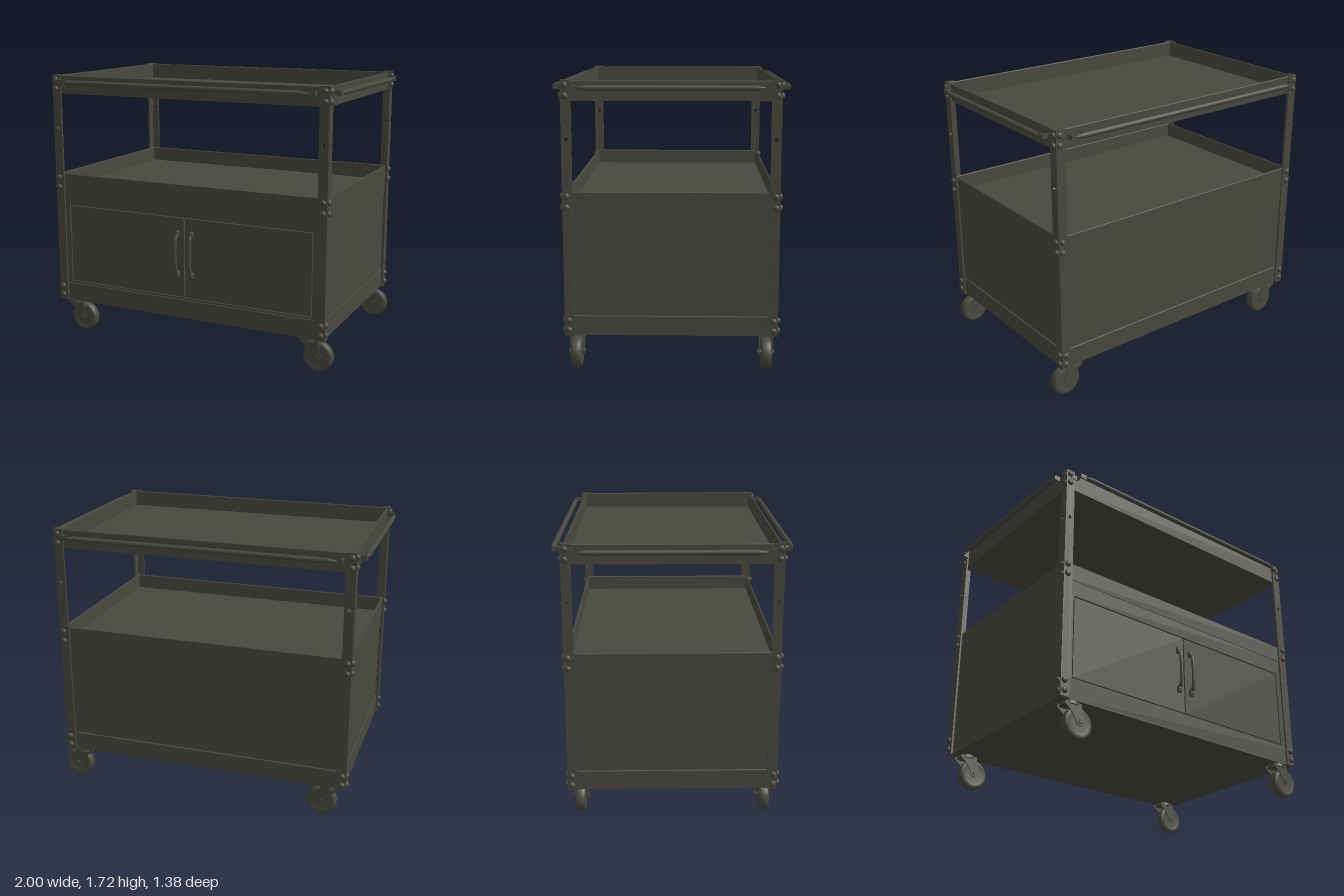
import * as THREE from 'three';
import { RoundedBoxGeometry } from 'three/addons/geometries/RoundedBoxGeometry.js';

const steel = new THREE.MeshStandardMaterial({ color: 0x4a4940 });
steel.name = 'olive grey steel';

const TRAY_X = 0.93, TRAY_Z = 0.615;   // tray half sizes
const LEG_X = 0.945, LEG_Z = 0.63;     // outer faces of the legs
const SIGNS = [-1, 1];

function add(parent, name, geometry, x = 0, y = 0, z = 0) {
  const mesh = new THREE.Mesh(geometry, steel);
  mesh.name = name;
  mesh.position.set(x, y, z);
  parent.add(mesh);
  return mesh;
}

// box given by its extents on each axis
function box(parent, name, x0, x1, y0, y1, z0, z1) {
  return add(parent, name, new THREE.BoxGeometry(x1 - x0, y1 - y0, z1 - z0),
    (x0 + x1) / 2, (y0 + y1) / 2, (z0 + z1) / 2);
}

function rectangle(x0, x1, y0, y1) {
  return new THREE.Shape([[x0, y0], [x1, y0], [x1, y1], [x0, y1]].map(p => new THREE.Vector2(...p)));
}

function extrude(shape, depth) {
  return new THREE.ExtrudeGeometry(shape, { depth, bevelEnabled: false, curveSegments: 16 });
}

// shallow tray: floor sheet with four upright walls
function tray(parent, name, y0, y1) {
  const g = new THREE.Group();
  g.name = name;
  const t = 0.012;
  box(g, 'trayFloor', -TRAY_X, TRAY_X, y0, y0 + t, -TRAY_Z, TRAY_Z);
  for (const s of SIGNS) {
    add(g, 'trayLongWall', new RoundedBoxGeometry(2 * TRAY_X, y1 - y0, t, 2, 0.005),
      0, (y0 + y1) / 2, s * (TRAY_Z - t / 2));
    add(g, 'traySideWall', new RoundedBoxGeometry(t, y1 - y0, 2 * TRAY_Z, 2, 0.005),
      s * (TRAY_X - t / 2), (y0 + y1) / 2, 0);
  }
  parent.add(g);
}

// domed bolt head, its axis along +z
const boltGeometry = new THREE.LatheGeometry(
  [[0.019, 0], [0.019, 0.005], [0.016, 0.011], [0.009, 0.015], [0, 0.016]].map(p => new THREE.Vector2(...p)), 14
).rotateX(Math.PI / 2);

// corner leg: two perforated plates in an L, with bolts
function leg(parent, sx, sz) {
  const g = new THREE.Group();
  g.name = 'leg';
  const w = 0.06, t = 0.012, y0 = 0.21, y1 = 1.72;
  const shape = rectangle(-w / 2, w / 2, y0, y1);
  shape.holes.push(new THREE.Path().absarc(0, 1.38, 0.011, 0, Math.PI * 2, true));
  const plate = extrude(shape, t).translate(0, 0, -t / 2);
  add(g, 'legPlate', plate, sx * (LEG_X - w / 2), 0, sz * (LEG_Z - t / 2));
  add(g, 'legPlate', plate, sx * (LEG_X - t / 2), 0, sz * (LEG_Z - w / 2)).rotation.y = Math.PI / 2;
  for (const y of [0.245, 0.305, 0.985, 1.05, 1.63, 1.69]) {
    add(g, 'bolt', boltGeometry, sx * 0.92, y, sz * LEG_Z).rotation.y = sz > 0 ? 0 : Math.PI;
    add(g, 'bolt', boltGeometry, sx * LEG_X, y, sz * 0.605).rotation.y = sx * Math.PI / 2;
  }
  parent.add(g);
}

// push rail with tapered ends and bent strip brackets, built facing +z
function rail(parent, half, face, reach, angle) {
  const g = new THREE.Group();
  g.name = 'rail';
  const profile = [[0, -half + 0.03], [0.005, -half + 0.03], [0.016, -half + 0.08],
    [0.016, half - 0.08], [0.005, half - 0.03], [0, half - 0.03]];
  add(g, 'railBar', new THREE.LatheGeometry(profile.map(p => new THREE.Vector2(...p)), 16)
    .rotateZ(Math.PI / 2), 0, 1.677, reach);
  for (const s of SIGNS) {
    const a = s * half, b = s * (half - 0.04), c = s * (half + 0.045);
    box(g, 'railStrip', Math.min(a, b), Math.max(a, b), 1.662, 1.692, reach - 0.003, reach + 0.003);
    box(g, 'railBracket', a - 0.003, a + 0.003, 1.662, 1.692, face, reach + 0.003);
    box(g, 'railFoot', Math.min(a, c), Math.max(a, c), 1.662, 1.692, face, face + 0.006);
  }
  g.rotation.y = angle;
  parent.add(g);
}

// swivel caster with the wheel trailing toward +x
function caster(parent, x, z) {
  const g = new THREE.Group();
  g.name = 'caster';
  g.position.set(x, 0, z);
  add(g, 'swivelPlate', new THREE.CylinderGeometry(0.05, 0.055, 0.022, 20), 0, 0.2, 0);
  box(g, 'forkBridge', -0.045, 0.05, 0.186, 0.196, -0.041, 0.041);
  const side = new THREE.Shape();
  side.moveTo(-0.055, 0.205);
  side.lineTo(0.055, 0.205);
  side.lineTo(0.077, 0.1);
  side.absarc(0.05, 0.098, 0.027, 0, -Math.PI * 0.85, true);
  side.quadraticCurveTo(0.01, 0.14, -0.055, 0.185);
  const plate = extrude(side, 0.006);
  add(g, 'forkSide', plate, 0, 0, 0.035);
  add(g, 'forkSide', plate, 0, 0, -0.041);
  const tyre = [[0, -0.026], [0.06, -0.026], [0.066, -0.03], [0.084, -0.03], [0.092, -0.02],
    [0.094, 0], [0.092, 0.02], [0.084, 0.03], [0.066, 0.03], [0.06, 0.026], [0, 0.026]];
  add(g, 'wheel', new THREE.LatheGeometry(tyre.map(p => new THREE.Vector2(...p)), 32)
    .rotateX(Math.PI / 2), 0.05, 0.094, 0);
  add(g, 'axle', new THREE.CylinderGeometry(0.014, 0.014, 0.098, 12).rotateX(Math.PI / 2), 0.05, 0.098, 0);
  parent.add(g);
}

// bowed pull handle on round feet
function doorHandle(parent, x) {
  const g = new THREE.Group();
  g.name = 'doorHandle';
  const path = new THREE.CatmullRomCurve3([[0.5, 0.615], [0.525, 0.632], [0.57, 0.64],
    [0.63, 0.642], [0.69, 0.64], [0.735, 0.632], [0.76, 0.615]].map(p => new THREE.Vector3(x, ...p)));
  add(g, 'handleGrip', new THREE.TubeGeometry(path, 28, 0.011, 10));
  for (const y of [0.495, 0.76]) {
    add(g, 'handleFoot', new RoundedBoxGeometry(0.032, 0.045, 0.022, 2, 0.009), x, y, 0.616);
    add(g, 'handleBolt', boltGeometry, x, y, 0.62).scale.setScalar(0.7);
  }
  parent.add(g);
}

// closed cupboard between the lower two trays
function cabinet(parent) {
  const g = new THREE.Group();
  g.name = 'cabinet';
  const x = 0.925, z = 0.61, y0 = 0.325, y1 = 0.975;
  const frame = rectangle(-x, x, y0, y1);
  frame.holes.push(rectangle(-0.857, 0.857, 0.343, 0.867));
  add(g, 'frontFrame', extrude(frame, 0.012), 0, 0, z - 0.012);
  box(g, 'doorBacking', -0.9, 0.9, y0, 0.9, z - 0.03, z - 0.02);
  for (const s of SIGNS) {
    const a = s * 0.004, b = s * 0.85;
    box(g, 'door', Math.min(a, b), Math.max(a, b), 0.35, 0.86, z - 0.018, z - 0.001);
    doorHandle(g, s * 0.05);
    // side panel slightly set back below its upper strip
    const i = s * (x - 0.02), o = s * (x - 0.006), e = s * x;
    box(g, 'sidePanel', Math.min(i, o), Math.max(i, o), y0, 0.88, -z + 0.01, z - 0.01);
    box(g, 'sideStrip', Math.min(i, e), Math.max(i, e), 0.88, y1, -z, z);
  }
  box(g, 'backPanel', -x + 0.01, x - 0.01, y0, 0.88, -z + 0.006, -z + 0.02);
  box(g, 'backStrip', -x, x, 0.88, y1, -z, -z + 0.02);
  parent.add(g);
}

export function createModel() {
  const cart = new THREE.Group();
  cart.name = 'utilityCart';

  tray(cart, 'bottomTray', 0.21, 0.33);
  tray(cart, 'middleTray', 0.965, 1.075);
  tray(cart, 'topTray', 1.6, 1.715);
  cabinet(cart);

  for (const sx of SIGNS) {
    for (const sz of SIGNS) {
      leg(cart, sx, sz);
      caster(cart, sx * 0.838, sz * 0.565);
    }
  }

  for (const s of SIGNS) {
    rail(cart, 0.87, LEG_Z, 0.676, s > 0 ? 0 : Math.PI);
    rail(cart, 0.56, LEG_X, 0.984, s * Math.PI / 2);
  }
  return cart;
}
